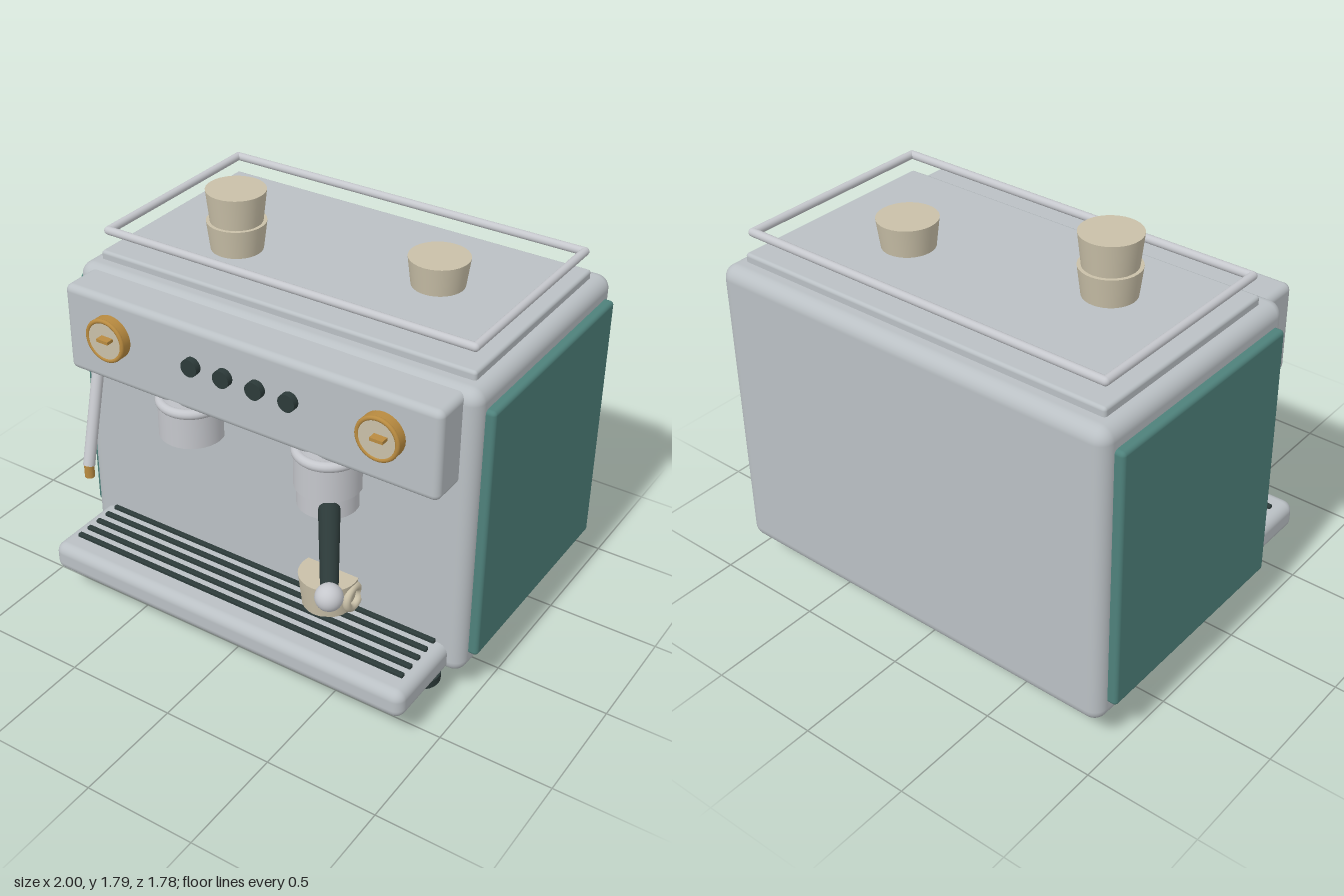
import * as THREE from 'three';
import { RoundedBoxGeometry } from 'three/addons/geometries/RoundedBoxGeometry.js';

const mat = (name, color) => {
  const m = new THREE.MeshStandardMaterial({ color });
  m.name = name;
  return m;
};

export function createModel() {
  const root = new THREE.Group();
  root.name = 'espressoMachine';
  const steel = mat('brushedSteel', 0xbac0c4);
  const chrome = mat('chrome', 0xc5c7cc);
  const teal = mat('tealPanel', 0x4e817b);
  const dark = mat('darkRubber', 0x2c3a39);
  const brass = mat('brass', 0xb98b40);
  const cream = mat('creamCeramic', 0xc9c0a8);

  const add = (name, geo, material, x = 0, y = 0, z = 0, parent = root) => {
    const m = new THREE.Mesh(geo, material);
    m.name = name;
    m.position.set(x, y, z);
    parent.add(m);
    return m;
  };
  // rounded box given by its minimum and maximum corners
  const box = (name, material, a, b, r) => add(name,
    new RoundedBoxGeometry(b[0] - a[0], b[1] - a[1], b[2] - a[2], 4, r), material,
    (a[0] + b[0]) / 2, (a[1] + b[1]) / 2, (a[2] + b[2]) / 2);
  // upright cylinder between two heights
  const post = (name, material, x, z, y0, y1, rTop, rBottom = rTop, parent = root) => add(name,
    new THREE.CylinderGeometry(rTop, rBottom, y1 - y0, 32), material, x, (y0 + y1) / 2, z, parent);
  // tapered rod between two points
  const rod = (name, material, p, q, r0, r1 = r0) => {
    const a = new THREE.Vector3(...p), b = new THREE.Vector3(...q);
    const m = add(name, new THREE.CylinderGeometry(r1, r0, a.distanceTo(b), 20), material);
    m.position.copy(a).lerp(b, 0.5);
    m.quaternion.setFromUnitVectors(new THREE.Vector3(0, 1, 0), b.sub(a).normalize());
    return m;
  };
  // disc facing the front
  const disc = (name, material, x, y, z0, z1, r) => {
    const m = add(name, new THREE.CylinderGeometry(r, r, z1 - z0, 32), material, x, y, (z0 + z1) / 2);
    m.rotation.x = Math.PI / 2;
    return m;
  };

  // housing, control head, drip tray and cup shelf
  box('body', steel, [-0.96, 0.13, -0.89], [0.96, 1.49, 0.28], 0.06);
  box('controlHead', steel, [-0.895, 1.075, 0.15], [0.895, 1.475, 0.435], 0.03);
  box('dripTray', steel, [-0.895, 0.138, 0.1], [0.895, 0.272, 0.65], 0.045);
  box('cupShelf', steel, [-0.895, 1.46, -0.8], [0.895, 1.527, 0.19], 0.014);
  for (const s of [-1, 1]) {
    const xs = [s * 0.93, s].sort((a, b) => a - b);
    box('sidePanel', teal, [xs[0], 0.22, -0.83], [xs[1], 1.4, 0.22], 0.018);
  }

  // drip grille bars
  for (let i = 0; i < 5; i++) {
    const z = 0.287 + i * 0.0625;
    box('grilleBar', dark, [-0.84, 0.262, z - 0.012], [0.84, 0.287, z + 0.012], 0.006);
  }

  // cup rail
  const corners = [[-0.87, -0.768], [0.87, -0.768], [0.87, 0.162], [-0.87, 0.162]];
  corners.forEach(([x, z], i) => {
    const [x2, z2] = corners[(i + 1) % 4];
    rod('cupRail', chrome, [x, 1.615, z], [x2, 1.615, z2], 0.018);
    add('railCorner', new THREE.SphereGeometry(0.018, 16, 12), chrome, x, 1.615, z);
  });

  // feet
  for (const x of [-0.75, 0.75]) for (const z of [0.225, -0.645]) {
    post('footStem', chrome, x, z, 0.03, 0.15, 0.075);
    post('footPad', dark, x, z, 0, 0.036, 0.085);
  }

  // dials with pointer
  for (const x of [-0.653, 0.65]) {
    disc('dialRing', brass, x, 1.303, 0.42, 0.478, 0.098);
    add('dialBezel', new THREE.TorusGeometry(0.089, 0.01, 10, 40), brass, x, 1.303, 0.477);
    disc('dialFace', cream, x, 1.303, 0.47, 0.483, 0.082);
    add('dialPointer', new THREE.BoxGeometry(0.058, 0.014, 0.04), brass, x + 0.018, 1.322, 0.498);
  }

  // buttons
  for (let i = 0; i < 4; i++) disc('button', dark, -0.237 + i * 0.156, 1.303, 0.42, 0.465, 0.039);

  // brew groups
  for (const x of [-0.343, 0.337]) {
    post('groupNeck', chrome, x, 0.32, 1.04, 1.095, 0.115, 0.13);
    add('groupCollar', new THREE.TorusGeometry(0.13, 0.022, 14, 40).rotateX(Math.PI / 2), chrome, x, 1.055, 0.32);
    post('groupHead', chrome, x, 0.32, 0.893, 1.045, 0.142);
  }

  // portafilter with spouts and handle
  post('portafilter', chrome, 0.337, 0.32, 0.803, 0.9, 0.13);
  for (const x of [0.3, 0.374]) post('spout', chrome, x, 0.32, 0.745, 0.81, 0.014);
  rod('portafilterHandle', dark, [0.4, 0.847, 0.41], [0.67, 0.812, 0.825], 0.045, 0.034);
  add('handleKnob', new THREE.SphereGeometry(0.055, 28, 20), chrome, 0.677, 0.81, 0.838);

  // steam wand
  rod('steamWand', chrome, [-0.775, 1.1, 0.395], [-0.748, 0.685, 0.535], 0.026);
  post('wandTip', brass, -0.748, 0.535, 0.628, 0.69, 0.022);

  // cups
  const cup = (x, y, z, h) => post('cup', cream, x, z, y, y + h, 0.129, 0.112);
  cup(-0.437, 1.52, -0.155, 0.135);
  cup(-0.437, 1.645, -0.155, 0.15);
  cup(0.432, 1.52, -0.34, 0.132);
  cup(0.34, 0.285, 0.315, 0.15);
  add('cupHandle', new THREE.TorusGeometry(0.049, 0.018, 14, 32).rotateY(Math.PI / 2), cream, 0.463, 0.36, 0.317);

  return root;
}
